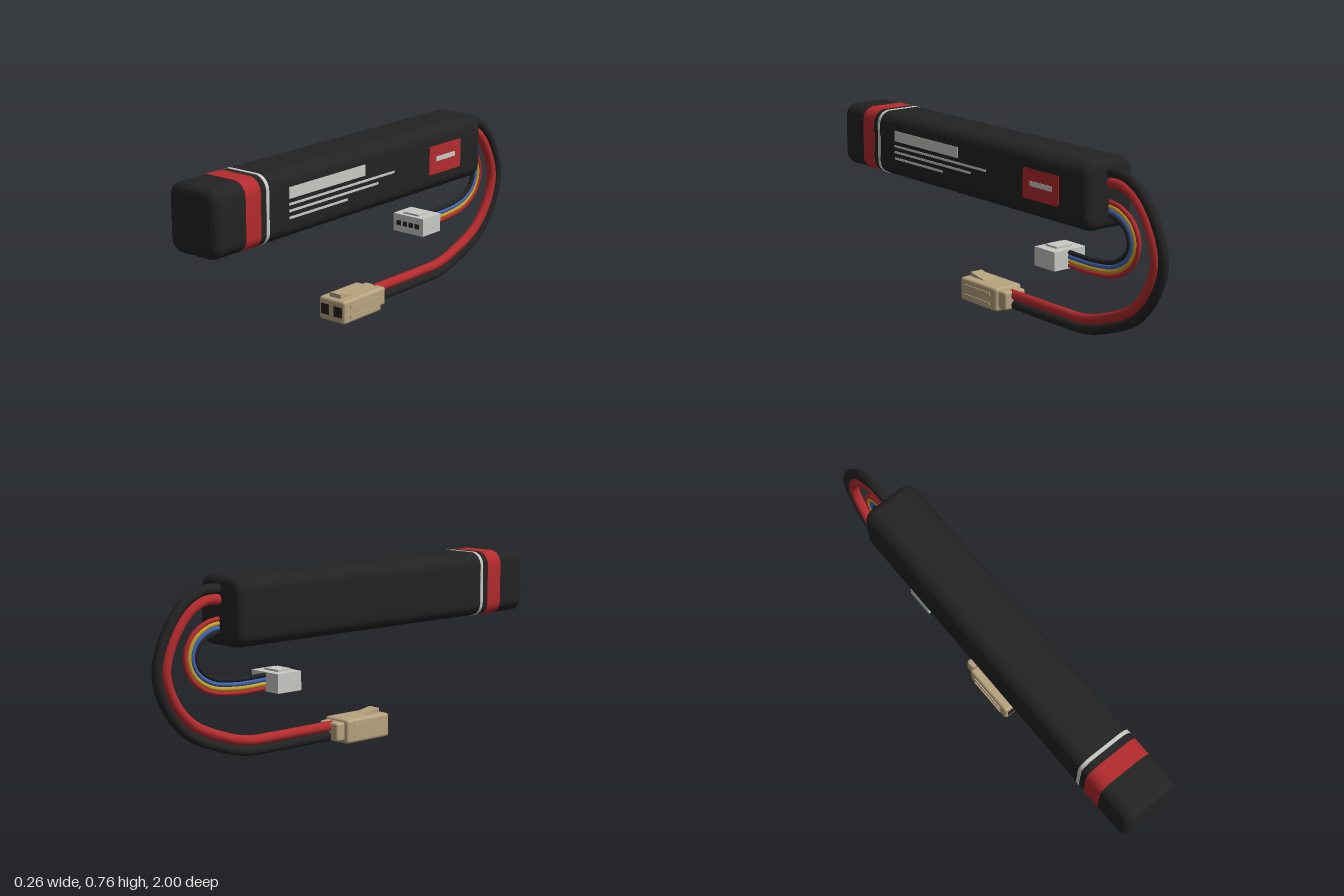
import * as THREE from 'three';
import { toCreasedNormals } from 'three/addons/utils/BufferGeometryUtils.js';
import { RoundedBoxGeometry } from 'three/addons/geometries/RoundedBoxGeometry.js';

const material = (name, color) => {
  const m = new THREE.MeshStandardMaterial({ color });
  m.name = name;
  return m;
};

// Rounded rectangle centred on the origin, given half sizes
function roundedRect(Type, w, h, r) {
  const s = new Type();
  s.moveTo(w, -h + r);
  s.lineTo(w, h - r);
  s.absarc(w - r, h - r, r, 0, Math.PI / 2);
  s.absarc(-w + r, h - r, r, Math.PI / 2, Math.PI);
  s.absarc(-w + r, -h + r, r, Math.PI, Math.PI * 1.5);
  s.absarc(w - r, -h + r, r, Math.PI * 1.5, Math.PI * 2);
  return s;
}

// Wire path in the x = 0 plane from [z, y] points, shifted outward from the bend
function offsetPath(points, offset) {
  const base = new THREE.CatmullRomCurve3(points.map(([z, y]) => new THREE.Vector3(0, y, z)));
  const shifted = [];
  for (let i = 0; i <= 40; i++) {
    const p = base.getPointAt(i / 40);
    const t = base.getTangentAt(i / 40);
    shifted.push(new THREE.Vector3(0, p.y - t.z * offset, p.z + t.y * offset));
  }
  return new THREE.CatmullRomCurve3(shifted);
}

export function createModel() {
  const model = new THREE.Group();
  model.name = 'batteryPack';

  const black = material('black', 0x232323);
  const red = material('red', 0xb52b2d);
  const white = material('offWhite', 0xcacac5);
  const tan = material('tan', 0xb8a480);
  const blue = material('blue', 0x3e64b4);
  const yellow = material('yellow', 0xc4a02c);

  const add = (parent, name, geometry, mat, x = 0, y = 0, z = 0) => {
    const mesh = new THREE.Mesh(geometry, mat);
    mesh.name = name;
    mesh.position.set(x, y, z);
    parent.add(mesh);
    return mesh;
  };
  // Box given by its limits on each axis
  const box = (parent, name, mat, [x0, x1], [y0, y1], [z0, z1], radius = 0) => {
    const size = [x1 - x0, y1 - y0, z1 - z0];
    const g = radius
      ? new RoundedBoxGeometry(...size, 3, radius)
      : new THREE.BoxGeometry(...size);
    return add(parent, name, g, mat, (x0 + x1) / 2, (y0 + y1) / 2, (z0 + z1) / 2);
  };

  // Wrapped battery body with soft ends
  const W = 0.1265, H = 0.1405, CY = 0.622, B = 0.035, R = 0.058;
  const bodyGeo = new THREE.ExtrudeGeometry(roundedRect(THREE.Shape, W - B, H - B, R - B), {
    depth: 1.675 - 2 * B, bevelEnabled: true, bevelSize: B, bevelThickness: B,
    bevelSegments: 6, curveSegments: 8,
  });
  add(model, 'body', toCreasedNormals(bodyGeo, 0.6), black, 0, CY, -0.675 + B);

  // Coloured bands around the front end
  const band = (name, mat, z0, z1) => {
    const e = 0.002;
    const shape = roundedRect(THREE.Shape, W + e, H + e, R + e);
    shape.holes.push(roundedRect(THREE.Path, W - e, H - e, R - e));
    const g = new THREE.ExtrudeGeometry(shape, { depth: z1 - z0, bevelEnabled: false, curveSegments: 8 });
    add(model, name, toCreasedNormals(g, 0.6), mat, 0, CY, z0);
  };
  band('redBand', red, 0.755, 0.838);
  band('whiteBand', white, 0.708, 0.724);

  // Printed label on the left side
  const label = (name, mat, y, z, out = 0.002) =>
    box(model, name, mat, [W - 0.002, W + out], y, z);
  label('labelBlock', white, [0.648, 0.695], [0.135, 0.595]);
  [[0.626, -0.055], [0.599, 0.05], [0.571, 0.245]].forEach(([y, z], i) =>
    label('labelLine' + (i + 1), white, [y - 0.005, y + 0.005], [z, 0.595]));
  label('badge', red, [0.56, 0.685], [-0.516, -0.296]);
  label('badgeBar', white, [0.615, 0.636], [-0.474, -0.34], 0.004);

  // Heavy power wires
  const powerPath = [
    [-0.64, 0.688], [-0.75, 0.689], [-0.845, 0.638], [-0.928, 0.52], [-0.958, 0.405],
    [-0.922, 0.285], [-0.825, 0.17], [-0.65, 0.09], [-0.53, 0.06], [-0.4, 0.056], [-0.07, 0.056],
  ];
  [['blackPowerWire', black, 0.021], ['redPowerWire', red, -0.021]].forEach(([name, mat, o]) =>
    add(model, name, new THREE.TubeGeometry(offsetPath(powerPath, o), 90, 0.0212, 14), mat));

  // Thin balance wires
  const balancePath = [
    [-0.64, 0.566], [-0.68, 0.565], [-0.735, 0.553], [-0.79, 0.515], [-0.815, 0.453],
    [-0.79, 0.382], [-0.715, 0.331], [-0.59, 0.311], [-0.42, 0.312],
  ];
  [['red', red], ['yellow', yellow], ['blue', blue], ['black', black]].forEach(([name, mat], i) =>
    add(model, name + 'BalanceWire',
      new THREE.TubeGeometry(offsetPath(balancePath, 0.027 - i * 0.018), 70, 0.0098, 10), mat));

  // Balance plug with four sockets
  const plug = new THREE.Group();
  plug.name = 'balancePlug';
  model.add(plug);
  box(plug, 'plugHousing', white, [-0.083, 0.081], [0.272, 0.352], [-0.44, -0.315]);
  box(plug, 'plugRidge', white, [-0.042, 0.04], [0.35, 0.36], [-0.405, -0.335]);
  for (const x of [-0.052, -0.018, 0.015, 0.048])
    box(plug, 'plugSocket', black, [x - 0.011, x + 0.011], [0.302, 0.323], [-0.318, -0.313]);

  // Main power connector
  const connector = new THREE.Group();
  connector.name = 'powerConnector';
  model.add(connector);
  box(connector, 'connectorHousing', tan, [-0.072, 0.07], [0.002, 0.105], [-0.048, 0.2], 0.013);
  box(connector, 'connectorCollar', tan, [-0.056, 0.054], [0.016, 0.095], [-0.093, -0.04], 0.01);
  for (const x of [-0.037, 0.034])
    box(connector, 'connectorSocket', black, [x - 0.022, x + 0.022], [0.031, 0.077], [0.197, 0.202]);
  for (const side of [-1, 1])
    for (const y of [0.031, 0.075])
      box(connector, 'gripRib', tan,
        [side * 0.071 - 0.006, side * 0.071 + 0.004], [y - 0.005, y + 0.005], [-0.01, 0.165]);

  // Wedge latch, highest near the front
  const wedge = new THREE.Shape();
  wedge.moveTo(0.07, 0.1);
  wedge.lineTo(0.178, 0.1);
  wedge.lineTo(0.178, 0.124);
  wedge.lineTo(0.165, 0.122);
  wedge.lineTo(0.07, 0.104);
  const latchGeo = new THREE.ExtrudeGeometry(wedge, { depth: 0.06, bevelEnabled: false });
  latchGeo.rotateY(-Math.PI / 2);
  add(connector, 'latch', latchGeo, tan, 0.029);

  return model;
}
